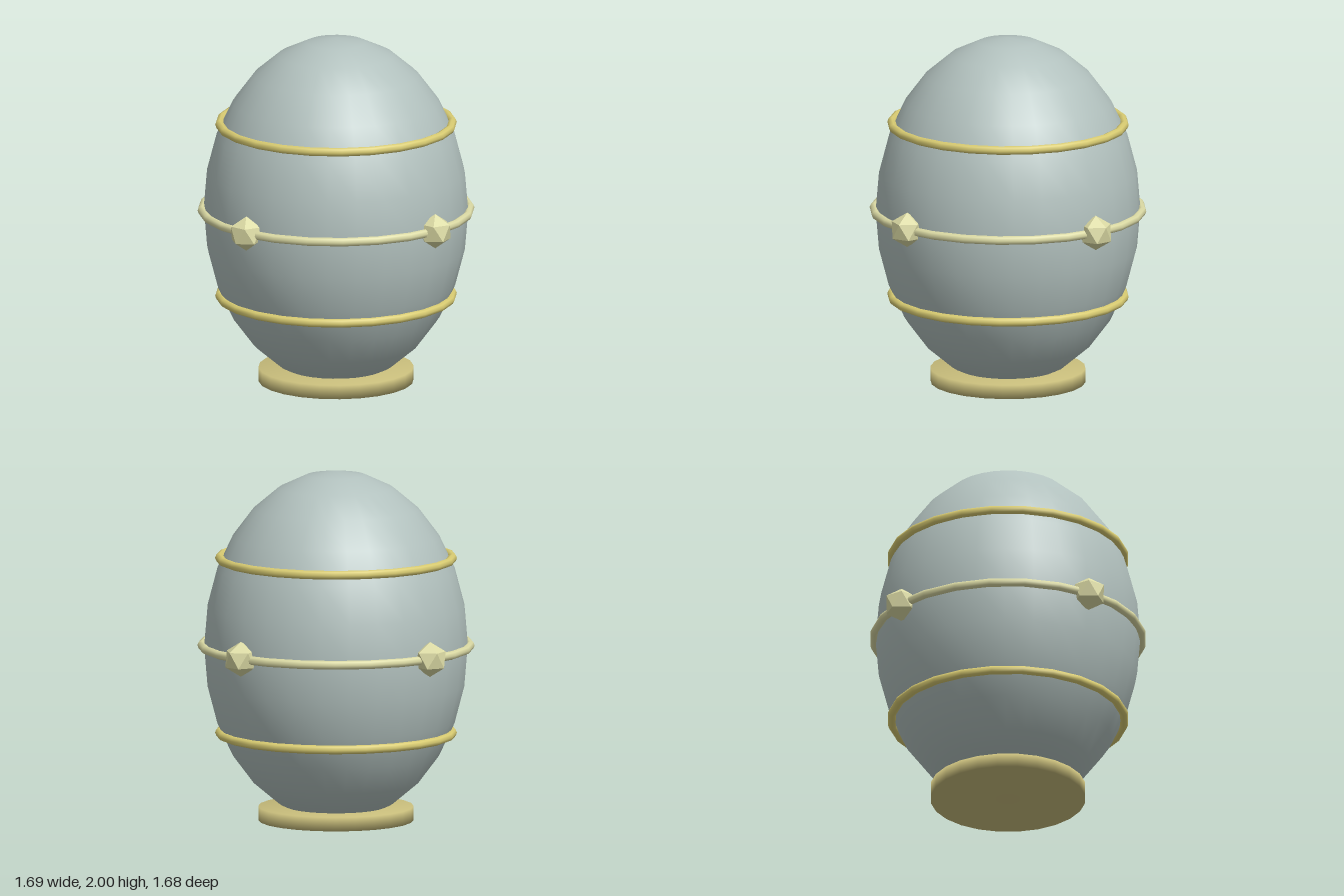
import * as THREE from 'three';
import { mergeVertices } from 'three/addons/utils/BufferGeometryUtils.js';

const paint = (name, color) => {
  const m = new THREE.MeshStandardMaterial({ color });
  m.name = name;
  return m;
};

export function createModel() {
  const model = new THREE.Group();
  model.name = 'ornamentalEgg';

  const shellGrey = paint('shellGrey', 0xb2c1be);
  const gold = paint('gold', 0xd9cc72);
  const paleGold = paint('paleGold', 0xdbdaa4);
  const baseGold = paint('baseGold', 0xc9be7c);
  const gemGold = paint('gemGold', 0xdbdaa4);
  gemGold.flatShading = true;

  const add = (name, geometry, material, x, y, z) => {
    const mesh = new THREE.Mesh(geometry, material);
    mesh.name = name;
    mesh.position.set(x, y, z);
    model.add(mesh);
    return mesh;
  };

  // Egg shell: stretched sphere
  const shell = new THREE.SphereGeometry(0.75, 28, 14);
  shell.scale(1, 1 / 0.75, 1);
  add('shell', shell, shellGrey, 0, 1, 0);

  // Low foot with softly shaded rims
  let foot = new THREE.CylinderGeometry(0.44, 0.44, 0.08, 24);
  foot.deleteAttribute('normal');
  foot.deleteAttribute('uv');
  foot = mergeVertices(foot);
  foot.computeVertexNormals();
  add('foot', foot, baseGold, 0, 0.04, 0);

  // Three bands around the shell
  const bands = [
    ['lowerBand', 0.66, 0.5, gold],
    ['middleBand', 0.76, 1, paleGold],
    ['upperBand', 0.66, 1.5, gold],
  ];
  for (const [name, radius, y, material] of bands) {
    const band = new THREE.TorusGeometry(radius, 0.025, 8, 24);
    band.rotateX(Math.PI / 2);
    add(name, band, material, 0, y, 0);
  }

  // Faceted gems on the middle band, one vertex pointing straight up
  const gem = new THREE.IcosahedronGeometry(0.1, 0);
  gem.rotateZ(-Math.atan(2 / (1 + Math.sqrt(5))));
  const gems = [['frontGem', 0, 1], ['backGem', 0, -1], ['leftGem', 1, 0], ['rightGem', -1, 0]];
  for (const [name, x, z] of gems) add(name, gem, gemGold, x * 0.757, 1, z * 0.757);

  return model;
}
